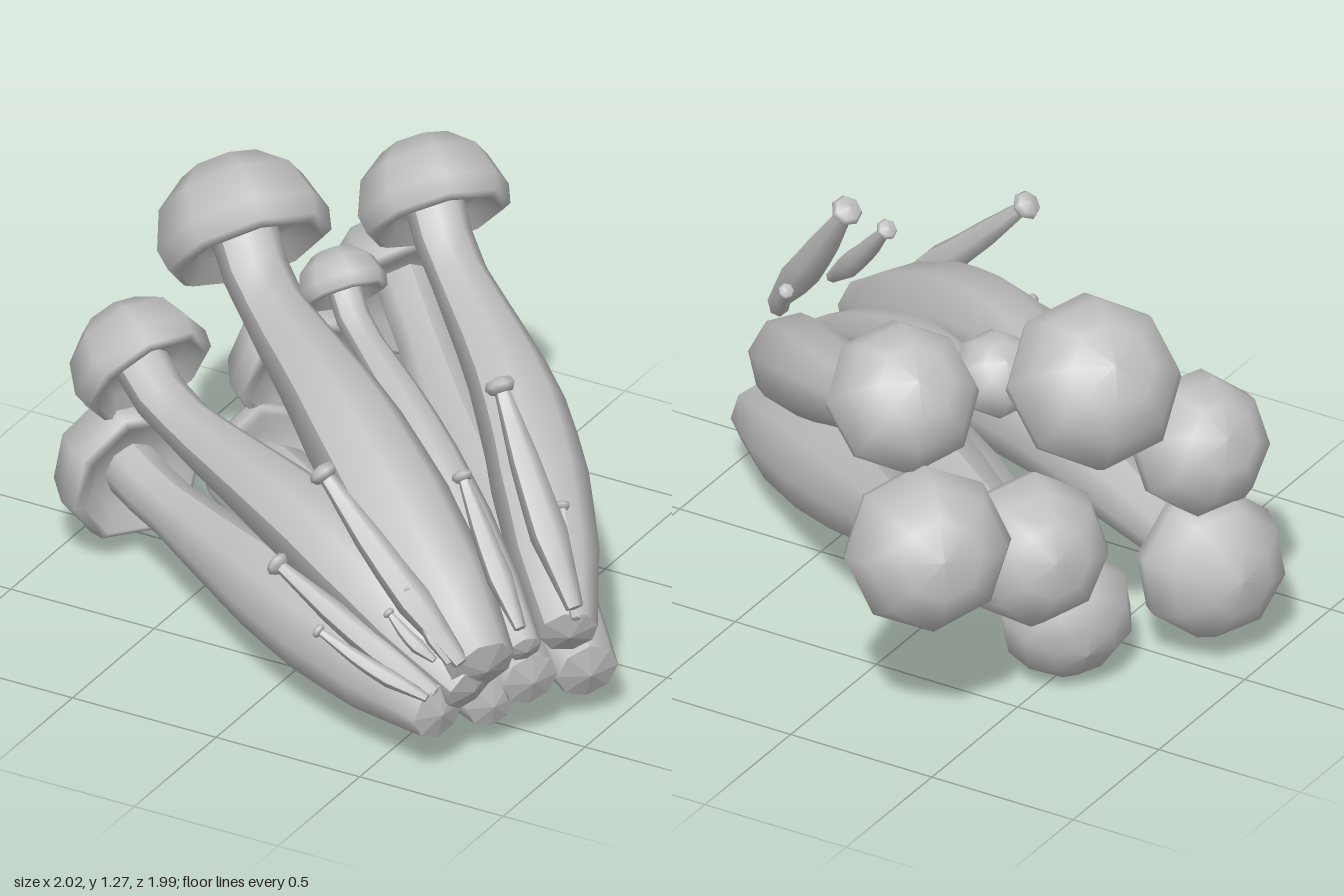
import * as THREE from 'three';

const grey = new THREE.MeshStandardMaterial({ color: 0xbfbfbf, side: THREE.DoubleSide });
grey.name = 'plain grey';

// Linear reading of a list of radii at u in 0..1
function sample(list, u) {
  const t = u * (list.length - 1), i = Math.min(Math.floor(t), list.length - 2);
  return THREE.MathUtils.lerp(list[i], list[i + 1], t - i);
}

// Stem: a tube whose rings are scaled along the path, closed by a shallow cut end
function makeStem(points, radii, scale, rings, sides) {
  const stem = new THREE.Group();
  stem.name = 'stem';
  const path = new THREE.CatmullRomCurve3(points);
  const geo = new THREE.TubeGeometry(path, rings, 1, sides, false);
  const pos = geo.attributes.position, v = new THREE.Vector3();
  for (let i = 0; i < pos.count; i++) {
    const u = Math.floor(i / (sides + 1)) / rings;
    const centre = path.getPointAt(u);
    v.fromBufferAttribute(pos, i).sub(centre).multiplyScalar(sample(radii, u) * scale).add(centre);
    pos.setXYZ(i, v.x, v.y, v.z);
  }
  geo.computeVertexNormals();
  const tube = new THREE.Mesh(geo, grey);
  tube.name = 'stemTube';

  // The cut end shares the last ring of the tube
  const tip = path.getPointAt(1).addScaledVector(path.getTangentAt(1), scale * 0.1);
  const corner = (i) => new THREE.Vector3().fromBufferAttribute(pos, rings * (sides + 1) + i);
  const fan = [];
  for (let i = 0; i < sides; i++) fan.push(tip, corner(i + 1), corner(i));
  const endGeo = new THREE.BufferGeometry().setFromPoints(fan);
  endGeo.computeVertexNormals();
  const end = new THREE.Mesh(endGeo, grey);
  end.name = 'cutEnd';
  stem.add(tube, end);
  return stem;
}

// Cap: a lathed profile turned to face along axis
function makeCap(profile, centre, axis, radius, sides) {
  const points = profile.map(([x, y]) => new THREE.Vector2(x * radius, y * radius));
  const cap = new THREE.Mesh(new THREE.LatheGeometry(points, sides), grey);
  cap.name = 'cap';
  cap.position.copy(centre);
  cap.quaternion.setFromUnitVectors(new THREE.Vector3(0, 1, 0), axis);
  return cap;
}

// Dome with a curled rim and shallow underside, and a simple knob
const domeProfile = [[0.3, -0.1], [0.6, -0.14], [0.84, -0.36], [0.95, -0.3], [1, -0.05], [0.84, 0.4], [0.48, 0.7], [0, 0.79]];
const knobProfile = [[0, -0.5], [0.75, -0.4], [1, 0], [0.8, 0.4], [0, 0.6]];

// Grown mushrooms: cap centre, stem bend, foot, cap radius, upward tilt of the cap
const grown = [
  [[-0.17, 1.05, -0.62], [0.42, 0.7, -0.13], [0.92, 0.36, 0.46], 0.24, 0.4],
  [[-0.35, 0.64, -0.77], [0.25, 0.38, -0.18], [0.93, 0.18, 0.36], 0.26, 0],
  [[-0.6, 1.03, -0.21], [0.04, 0.77, 0.28], [0.81, 0.37, 0.79], 0.275, 0.5],
  [[-0.5, 0.5, -0.4], [0.2, 0.35, 0.13], [0.85, 0.23, 0.57], 0.24, 0.1],
  [[-0.24, 0.94, -0.19], [0.2, 0.74, 0.14], [0.86, 0.36, 0.62], 0.14, 0.6],
  [[-0.76, 0.69, 0.14], [0.13, 0.54, 0.59], [0.77, 0.29, 0.8], 0.225, 0.4],
  [[-0.82, 0.3, 0.11], [0.05, 0.27, 0.6], [0.7, 0.22, 0.87], 0.24, 0.1],
  [[-0.52, 0.2, -0.24], [0.1, 0.24, 0.22], [0.76, 0.16, 0.65], 0.215, -0.3],
];

// Young mushrooms: tip, foot, cap radius
const young = [
  [[0.58, 1.03, 0.28], [0.97, 0.48, 0.51], 0.05],
  [[0.26, 0.89, 0.8], [0.78, 0.41, 0.87], 0.047],
  [[0.59, 0.84, 0.53], [0.9, 0.49, 0.72], 0.034],
  [[0.8, 0.68, 0.29], [0.98, 0.45, 0.52], 0.026],
  [[0.09, 0.52, 0.78], [0.7, 0.29, 0.88], 0.04],
  [[0.34, 0.45, 0.97], [0.7, 0.3, 0.94], 0.024],
  [[0.59, 0.61, 0.86], [0.75, 0.41, 0.89], 0.022],
  [[0.55, 0.54, 0.91], [0.71, 0.42, 0.91], 0.02],
];

function makeGrown([c, b, f, radius, tilt]) {
  const mushroom = new THREE.Group();
  mushroom.name = 'mushroom';
  const [centre, bend, foot] = [c, b, f].map((p) => new THREE.Vector3(...p));
  const axis = centre.clone().sub(bend).normalize();
  axis.y += tilt;
  axis.normalize();
  // The stem leaves the cap along its axis
  const neck = centre.clone().addScaledVector(axis, -0.75 * radius);
  mushroom.add(
    makeCap(domeProfile, centre, axis, radius, 8),
    makeStem([centre, neck, bend, foot], [0.38, 0.37, 0.47, 0.58, 0.63, 0.58, 0.38], radius, 12, 8),
  );
  return mushroom;
}

function makeYoung([t, f, radius]) {
  const mushroom = new THREE.Group();
  mushroom.name = 'youngMushroom';
  const tip = new THREE.Vector3(...t), foot = new THREE.Vector3(...f);
  const axis = tip.clone().sub(foot).normalize();
  // Slight sag in the middle of the stem
  const middle = tip.clone().lerp(foot, 0.5);
  middle.y -= 0.015;
  mushroom.add(
    makeCap(knobProfile, tip, axis, radius, 7),
    makeStem([tip, middle, foot], [0.45, 0.95, 1.2, 0.55], radius, 6, 6),
  );
  return mushroom;
}

export function createModel() {
  const bunch = new THREE.Group();
  bunch.name = 'mushroomBunch';
  bunch.add(...grown.map(makeGrown), ...young.map(makeYoung));
  return bunch;
}
